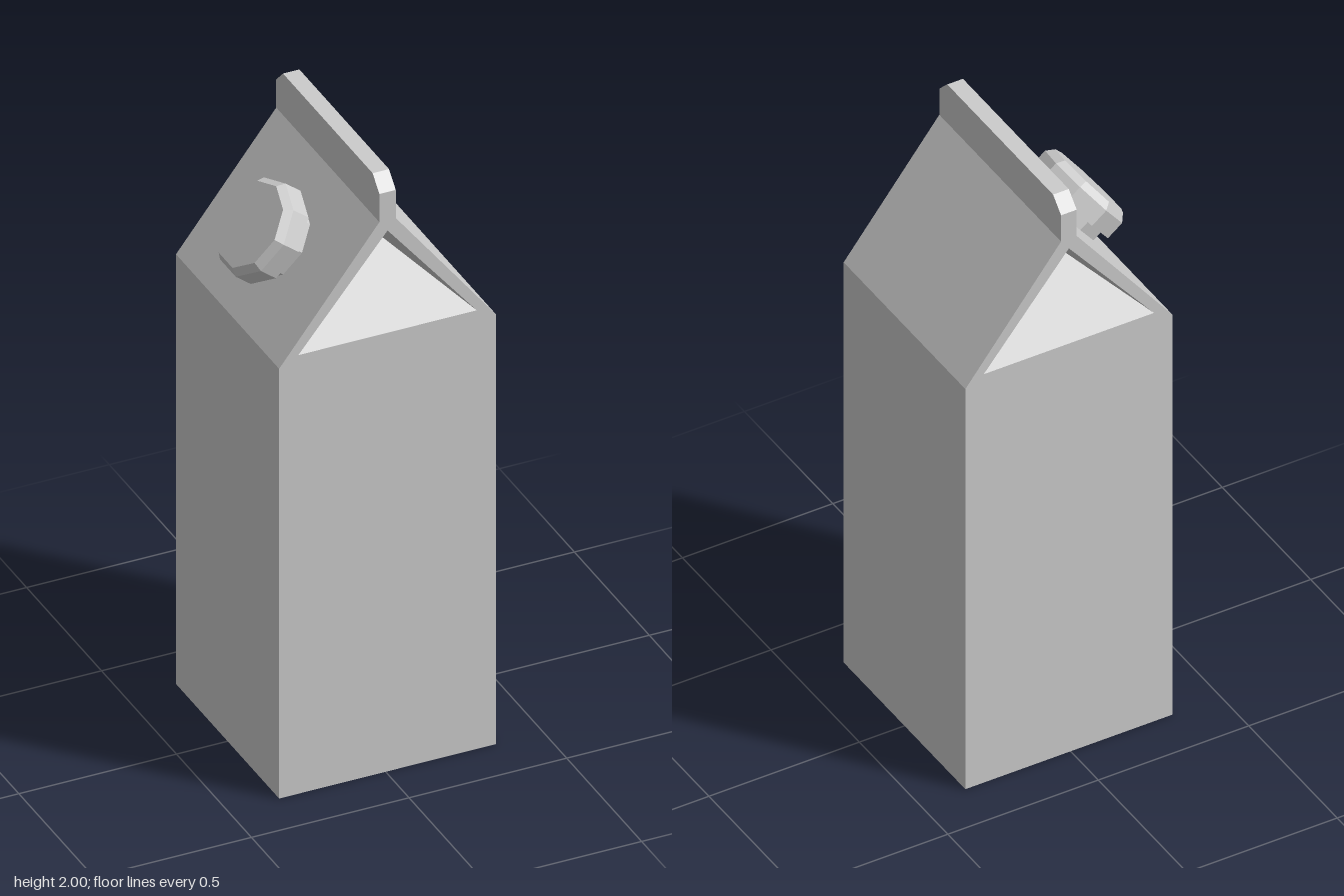
import * as THREE from 'three';
import { mergeGeometries } from 'three/addons/utils/BufferGeometryUtils.js';

const HALF = 0.344, EAVE = 1.45, RIDGE = 1.86, TOP = 2, FIN = 0.026;
const material = new THREE.MeshStandardMaterial({ color: 0xcccccc, flatShading: true });

function part(name, geometry) {
  const mesh = new THREE.Mesh(geometry, material);
  mesh.name = name;
  return mesh;
}

// Flat polygons (counter-clockwise corner lists) fanned into triangles
function facets(polygons) {
  const pos = [];
  for (const p of polygons)
    for (let i = 1; i < p.length - 1; i++) pos.push(...p[0], ...p[i], ...p[i + 1]);
  const g = new THREE.BufferGeometry();
  g.setAttribute('position', new THREE.Float32BufferAttribute(pos, 3));
  g.computeVertexNormals();
  return g;
}

// Gable wall with a triangular opening and the folded-in panels behind it
function gableEnd(outline) {
  const w = 0.283, low = 1.48, apex = 1.825;
  const shape = new THREE.Shape(outline);
  shape.holes.push(new THREE.Path([
    new THREE.Vector2(-w, low), new THREE.Vector2(0, apex), new THREE.Vector2(w, low),
  ]));
  const wall = new THREE.ShapeGeometry(shape).toNonIndexed();
  wall.deleteAttribute('uv');
  wall.translate(0, 0, HALF);
  const a = [-w, low, HALF], b = [w, low, HALF], t = [0, apex, HALF];
  const inner = [0, 1.755, HALF - 0.2];
  return mergeGeometries([wall, facets([[a, b, inner], [a, inner, t], [inner, b, t]])]);
}

function cartonGeometry() {
  const outline = [
    [-HALF, 0], [HALF, 0], [HALF, EAVE], [FIN, RIDGE], [-FIN, RIDGE], [-HALF, EAVE],
  ].map(([x, y]) => new THREE.Vector2(x, y));
  // Base, side walls, roof slopes and ridge
  const walls = facets(outline.map((p, i) => {
    const q = outline[(i + 1) % outline.length];
    return [[p.x, p.y, HALF], [p.x, p.y, -HALF], [q.x, q.y, -HALF], [q.x, q.y, HALF]];
  }));
  const front = gableEnd(outline);
  return mergeGeometries([walls, front, front.clone().rotateY(Math.PI)]);
}

// Upright sealed strip with clipped top corners
function finGeometry() {
  const c = 0.045;
  const shape = new THREE.Shape([
    [-HALF, RIDGE], [HALF, RIDGE], [HALF, TOP - c], [HALF - c, TOP], [c - HALF, TOP], [-HALF, TOP - c],
  ].map(([x, y]) => new THREE.Vector2(x, y)));
  return new THREE.ExtrudeGeometry(shape, { depth: 2 * FIN, bevelEnabled: false })
    .translate(0, 0, -FIN).rotateY(Math.PI / 2);
}

// Nine-sided turned part with one corner pointing up the slope
function turned(profile) {
  return new THREE.LatheGeometry(profile.map(([r, y]) => new THREE.Vector2(r, y)), 9, Math.PI / 2);
}

export function createModel() {
  const model = new THREE.Group();
  model.name = 'carton';

  const body = part('cartonBody', cartonGeometry());
  const fin = part('topFin', finGeometry());
  body.position.x = fin.position.x = 0.006;

  // Screw cap standing square to the right roof slope
  const spout = new THREE.Group();
  spout.name = 'spout';
  spout.add(
    part('spoutNeck', turned([[0.127, -0.005], [0.127, 0.034]])),
    part('screwCap', turned([[0, 0.032], [0.154, 0.032], [0.154, 0.092], [0.135, 0.115], [0, 0.115]])),
  );
  spout.position.set(-0.178, 1.658, 0.005);
  spout.rotation.z = Math.atan2(RIDGE - EAVE, HALF - FIN);

  model.add(body, fin, spout);
  return model;
}
